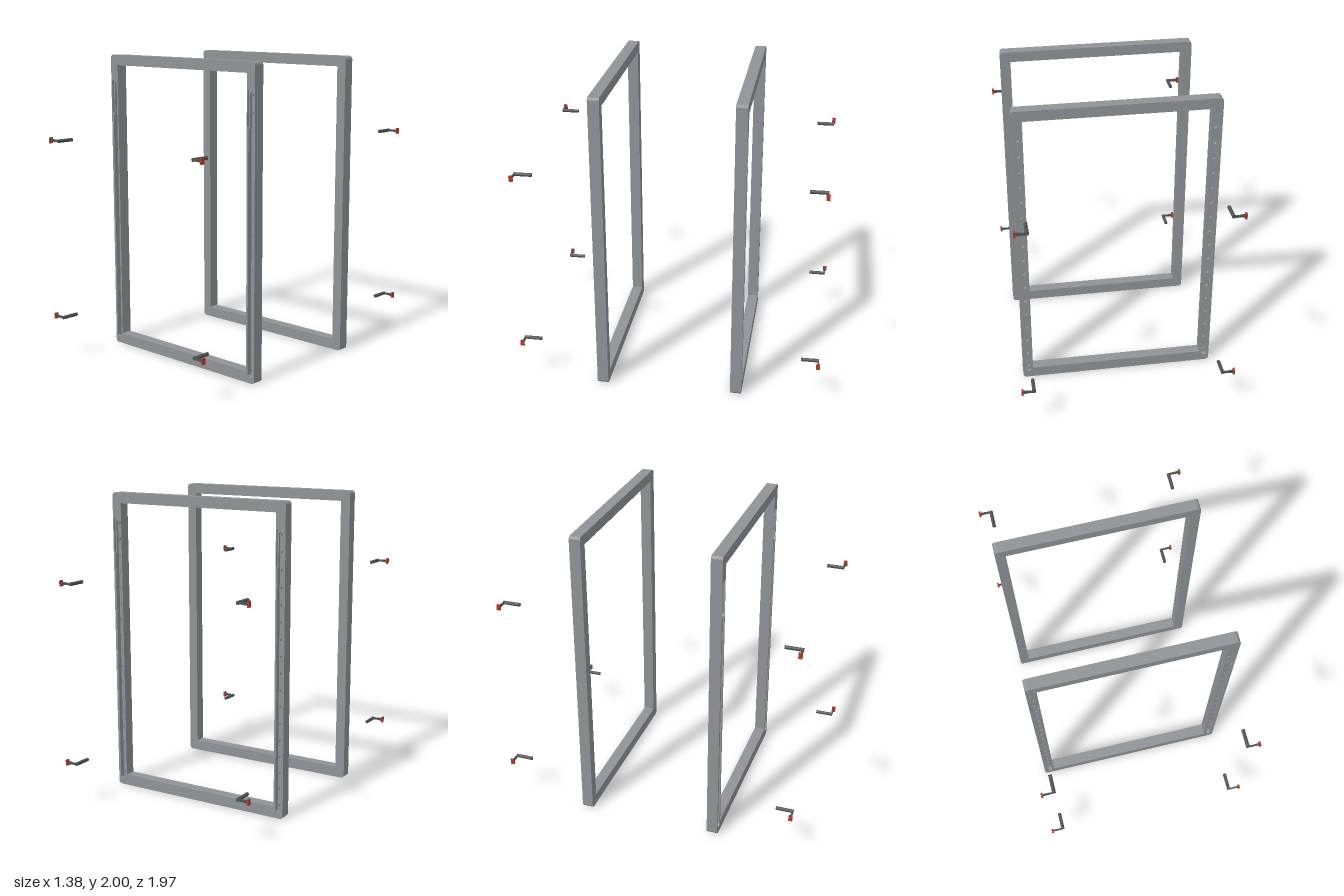
import * as THREE from 'three';

const W = 0.643, H = 2, IN_X = 0.577, IN_BOTTOM = 0.072, IN_TOP = 1.932;
const SLOT_X = 0.608;
const HOLE_Y = Array.from({ length: 17 }, (_, i) => 0.074 + i * 0.1075);

const frameMat = new THREE.MeshStandardMaterial({ color: 0x8f9397 });
frameMat.name = 'frame grey';
const steelMat = new THREE.MeshStandardMaterial({ color: 0x505254 });
steelMat.name = 'dark steel';
const redMat = new THREE.MeshStandardMaterial({ color: 0xb43a2a });
redMat.name = 'red cap';

// Rounded rectangle between two corners
function roundRect(path, x0, y0, x1, y1, r) {
  path.moveTo(x0 + r, y0);
  path.lineTo(x1 - r, y0).absarc(x1 - r, y0 + r, r, -Math.PI / 2, 0);
  path.lineTo(x1, y1 - r).absarc(x1 - r, y1 - r, r, 0, Math.PI / 2);
  path.lineTo(x0 + r, y1).absarc(x0 + r, y1 - r, r, Math.PI / 2, Math.PI);
  path.lineTo(x0, y0 + r).absarc(x0 + r, y0 + r, r, Math.PI, Math.PI * 1.5);
  return path;
}

// Long guide slot
const narrowSlot = (x) => roundRect(new THREE.Path(), x - 0.018, 0.04, x + 0.018, 1.815, 0.012);

// Guide slot that widens into an entry pocket near the top
function pocketSlot(x) {
  const n = 0.018, w = 0.027, r = 0.014, top = 1.83;
  const p = new THREE.Path();
  p.moveTo(x - n + 0.012, 0.04);
  p.lineTo(x + n - 0.012, 0.04);
  p.lineTo(x + n, 0.052);
  p.lineTo(x + n, 1.6);
  p.lineTo(x + w, 1.612);
  p.lineTo(x + w, top - r).absarc(x + w - r, top - r, r, 0, Math.PI / 2);
  p.lineTo(x - w + r, top).absarc(x - w + r, top - r, r, Math.PI / 2, Math.PI);
  p.lineTo(x - w, 1.612);
  p.lineTo(x - n, 1.6);
  p.lineTo(x - n, 0.052);
  return p;
}

const hole = (x, y) => new THREE.Path().absarc(x, y, 0.0125, 0, Math.PI * 2);

// One slice of the frame, with extra cut-outs on each upright
function frameLayer(name, z0, z1, cutouts) {
  const shape = roundRect(new THREE.Shape(), -W, 0, W, H, 0.022);
  shape.holes.push(roundRect(new THREE.Path(), -IN_X, IN_BOTTOM, IN_X, IN_TOP, 0.002));
  for (const side of [-1, 1]) shape.holes.push(...cutouts(side * SLOT_X));
  const geo = new THREE.ExtrudeGeometry(shape, { depth: z1 - z0, bevelEnabled: false, curveSegments: 8 });
  const mesh = new THREE.Mesh(geo, frameMat);
  mesh.name = name;
  mesh.position.z = z0;
  return mesh;
}

function makeFrame() {
  const g = new THREE.Group();
  g.name = 'frame';
  g.add(
    frameLayer('frameBacking', 0.408, 0.43, () => []),
    frameLayer('frameHoleRow', 0.43, 0.45, (x) => HOLE_Y.map((y) => hole(x, y))),
    frameLayer('frameGuideSlot', 0.45, 0.466, (x) => [narrowSlot(x)]),
    frameLayer('frameFace', 0.466, 0.481, (x) => [pocketSlot(x)])
  );
  return g;
}

// Locking pin: rod along z, tapered lever along +x, red cap on its end
function makePin() {
  const g = new THREE.Group();
  g.name = 'lockingPin';

  const rod = new THREE.Mesh(new THREE.CylinderGeometry(0.0115, 0.0115, 0.115, 16), steelMat);
  rod.name = 'pinRod';
  rod.rotation.x = Math.PI / 2;
  rod.position.set(0.608, 0, 0.9175);

  const outline = new THREE.Shape();
  outline.moveTo(0.608, -0.007);
  outline.lineTo(0.64, -0.007);
  outline.lineTo(0.68, -0.011);
  outline.lineTo(0.68, 0.011);
  outline.lineTo(0.64, 0.007);
  outline.lineTo(0.608, 0.007);
  const lever = new THREE.Mesh(
    new THREE.ExtrudeGeometry(outline, { depth: 0.009, bevelEnabled: false }), steelMat);
  lever.name = 'pinLever';
  lever.position.z = 0.967;

  const cap = new THREE.Mesh(new THREE.BoxGeometry(0.012, 0.038, 0.024), redMat);
  cap.name = 'pinCap';
  cap.position.set(0.682, 0, 0.972);

  g.add(rod, lever, cap);
  return g;
}

export function createModel() {
  const model = new THREE.Group();
  model.name = 'pairedFrames';
  // The rear half is the front half turned around
  for (const [name, turn] of [['frontHalf', 0], ['rearHalf', Math.PI]]) {
    const half = new THREE.Group();
    half.name = name;
    half.add(makeFrame());
    for (const y of [0.288, 1.466]) {
      for (const side of [-1, 1]) {
        const pin = makePin();
        pin.position.y = y;
        pin.scale.x = side;
        half.add(pin);
      }
    }
    half.rotation.y = turn;
    model.add(half);
  }
  return model;
}
